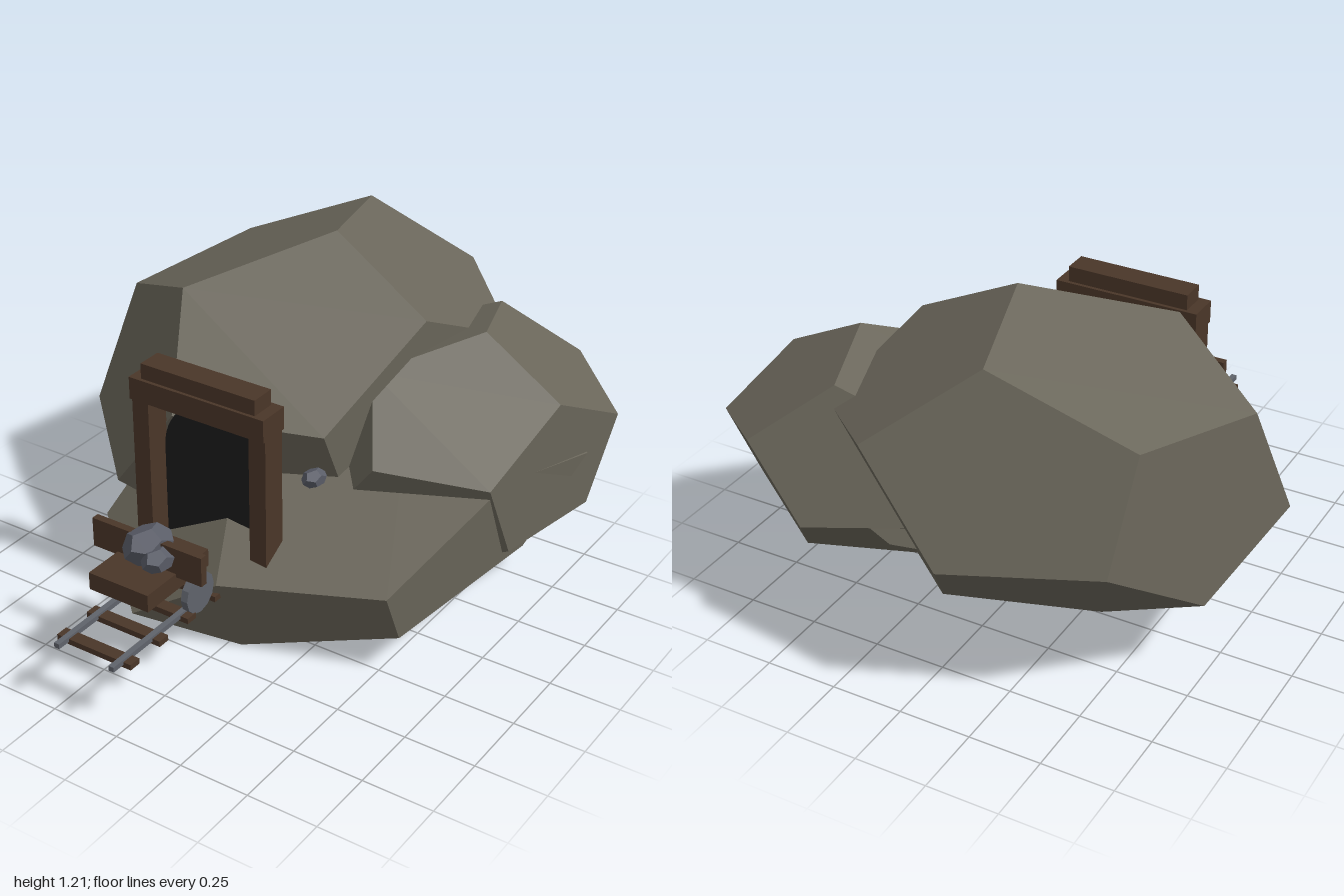
import * as THREE from 'three';

const material = (name, color) => {
  const m = new THREE.MeshStandardMaterial({ color });
  m.name = name;
  return m;
};

export function createModel() {
  const rock = material('rock', 0x6a665a);
  const wood = material('timber', 0x4a3628);
  const iron = material('iron', 0x5f636b);
  const ore = material('ore', 0x5a5d68);
  const dark = material('tunnel dark', 0x1c1c1c);

  const model = new THREE.Group();
  model.name = 'mineEntrance';

  const add = (name, geometry, mat, parent = model) => {
    const mesh = new THREE.Mesh(geometry, mat);
    mesh.name = name;
    parent.add(mesh);
    return mesh;
  };
  const group = (name) => {
    const g = new THREE.Group();
    g.name = name;
    model.add(g);
    return g;
  };
  // Box given by its min and max on each axis
  const box = (name, [x0, x1], [y0, y1], [z0, z1], mat, parent) => {
    const mesh = add(name, new THREE.BoxGeometry(x1 - x0, y1 - y0, z1 - z0), mat, parent);
    mesh.position.set((x0 + x1) / 2, (y0 + y1) / 2, (z0 + z1) / 2);
    return mesh;
  };
  // Dodecahedron stretched along three skewed axes
  const boulder = (name, centre, u, v, w, mat = rock, parent = model) => {
    const axes = [u, v, w].map((a) => new THREE.Vector3(...a));
    const matrix = new THREE.Matrix4().makeBasis(...axes).setPosition(...centre);
    const geometry = new THREE.DodecahedronGeometry(Math.sqrt(3)).applyMatrix4(matrix);
    geometry.computeVertexNormals();
    return add(name, geometry, mat, parent);
  };

  // Hill: three overlapping boulders
  const U = [0.371, 0.164, -0.077], V = [-0.126, 0.25, -0.23], W = [-0.09, 0.145, 0.315];
  const hill = group('hill');
  boulder('mainBoulder', [-0.214, 0.665, -0.35], U, V, W, rock, hill);
  boulder('sideBoulder', [0.386, 0.562, -0.406],
    [0.276, 0.112, -0.06], [-0.11, 0.186, -0.168], [-0.064, 0.114, 0.231], rock, hill);
  boulder('baseBoulder', [0.089, 0.385, -0.147],
    [-0.272, 0.069, 0.125], [-0.132, -0.206, 0.377], [0.344, 0.057, 0.145], rock, hill);

  // Arched tunnel mouth
  const arch = new THREE.Shape();
  arch.moveTo(-0.31, 0.26);
  arch.lineTo(0.09, 0.26);
  arch.lineTo(0.09, 0.63);
  arch.absarc(-0.11, 0.63, 0.2, 0, Math.PI, false);
  arch.closePath();
  const mouth = add('tunnelMouth',
    new THREE.ExtrudeGeometry(arch, { depth: 0.03, bevelEnabled: false, curveSegments: 12 }), dark);
  mouth.position.z = 0.275;

  // Timber frame
  const frame = group('timberFrame');
  for (const x of [-0.342, 0.118]) {
    box('post', [x - 0.032, x + 0.032], [0.25, 0.83], [0.295, 0.388], wood, frame);
  }
  box('lintel', [-0.376, 0.15], [0.825, 0.905], [0.283, 0.398], wood, frame);
  box('capBeam', [-0.335, 0.11], [0.905, 0.96], [0.296, 0.386], wood, frame);

  // Track
  const track = group('track');
  for (const x of [-0.222, -0.006]) {
    box('rail', [x - 0.01, x + 0.01], [0.258, 0.276], [0.3, 1.0], iron, track);
  }
  for (let i = 0; i < 4; i++) {
    const z = 0.93 - i * 0.147;
    box('sleeper', [-0.26, 0.032], [0.248, 0.268], [z - 0.022, z + 0.022], wood, track);
  }

  // Cart: bed, cross board and wheels
  const cart = group('cart');
  box('cartBed', [-0.23, 0.002], [0.375, 0.437], [0.5, 0.818], wood, cart);
  box('crossBoard', [-0.328, 0.102], [0.425, 0.53], [0.645, 0.672], wood, cart);
  const wheelGeometry = new THREE.CylinderGeometry(0.072, 0.072, 0.025, 12)
    .toNonIndexed().rotateZ(Math.PI / 2);
  wheelGeometry.computeVertexNormals();
  for (const x of [-0.247, 0.016]) {
    add('wheel', wheelGeometry, iron, cart).position.set(x, 0.325, 0.582);
  }

  // Ore lumps in the cart and one stone on the ledge
  const lump = (name, centre, size) => {
    const scaled = [U, V, W].map((a) => a.map((c) => c * size));
    boulder(name, centre, ...scaled, ore);
  };
  lump('oreLump', [-0.115, 0.5, 0.66], 0.115);
  lump('smallOreLump', [-0.05, 0.485, 0.695], 0.075);
  lump('ledgeStone', [0.147, 0.555, 0.105], 0.058);

  return model;
}
